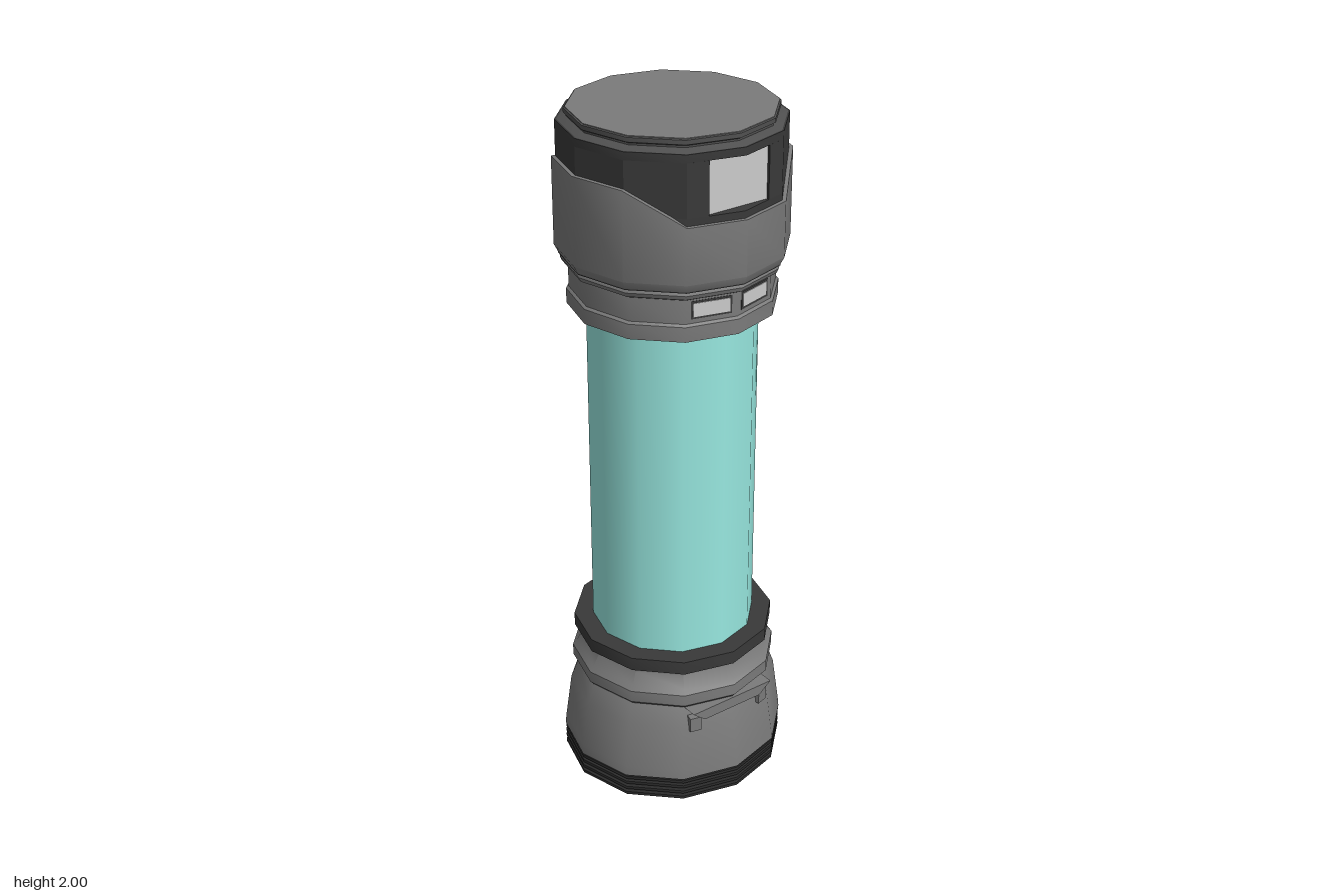
import * as THREE from 'three';
import { toCreasedNormals } from 'three/addons/utils/BufferGeometryUtils.js';

const SIDES = 12;
const mat = (color) => new THREE.MeshStandardMaterial({ color });
const dark = mat(0x393939), rim = mat(0x505050), grey = mat(0x7b7b7b);
const black = mat(0x2c2c2c), light = mat(0xcccccc), teal = mat(0x98e8e0);

export function createModel() {
  const model = new THREE.Group();

  const add = (name, geometry, material, parent = model) => {
    const mesh = new THREE.Mesh(geometry, material);
    mesh.name = name;
    parent.add(mesh);
    return mesh;
  };
  // Twelve-sided turned part; profile is [radius, y] from bottom to top
  const turned = (profile) =>
    new THREE.LatheGeometry(profile.map(([r, y]) => new THREE.Vector2(r, y)), SIDES);
  const lathe = (name, profile, material, zScale = 1, xScale = 1) =>
    add(name, toCreasedNormals(turned(profile).scale(xScale, 1, zScale), 0.6), material);
  const disc = (name, r, y0, y1, material) =>
    lathe(name, [[0, y0], [r, y0], [r, y1], [0, y1]], material);

  // Finned foot
  lathe('footCore', [[0, 0.002], [0.285, 0.002], [0.285, 0.08], [0, 0.08]], black);
  for (const y of [0, 0.019, 0.038, 0.056]) {
    lathe('footFin', [[0, y], [0.328, y], [0.328, y + 0.009], [0, y + 0.009]], black, 1, 0.965);
  }

  // Flared base, slightly narrower across x
  lathe('base', [[0, 0.07], [0.33, 0.07], [0.327, 0.1], [0.308, 0.24],
    [0.284, 0.305], [0, 0.305]], grey, 1, 0.96);
  lathe('baseCollar', [[0, 0.305], [0.288, 0.305], [0.297, 0.315], [0.297, 0.35],
    [0.285, 0.365], [0.266, 0.4], [0.266, 0.415], [0.25, 0.425], [0, 0.425]], grey);
  disc('baseRim', 0.29, 0.42, 0.46, dark);

  // Latch lip with two small hooks on each side of the base
  for (const side of [1, -1]) {
    const latch = new THREE.Group();
    latch.name = 'sideLatch';
    const lip = new THREE.Shape([[-0.14, 0.3], [-0.1, 0.267], [0.1, 0.267], [0.14, 0.3]]
      .map(([x, y]) => new THREE.Vector2(x, y)));
    add('latchLip', new THREE.ExtrudeGeometry(lip, { depth: 0.045, bevelEnabled: false })
      .translate(0, 0, 0.245), grey, latch);
    for (const s of [1, -1]) {
      const hook = add('latchHook', new THREE.BoxGeometry(0.035, 0.045, 0.03), grey, latch);
      hook.position.set(s * 0.118, 0.25, 0.262);
      hook.rotation.y = s * 0.26;
    }
    latch.rotation.y = side * Math.PI / 2;
    model.add(latch);
  }

  // Glass tube
  add('tube', new THREE.CylinderGeometry(0.235, 0.235, 1.02, SIDES).translate(0, 0.955, 0), teal);

  // Neck of the head
  lathe('neck', [[0, 1.455], [0.287, 1.455], [0.287, 1.497], [0.28, 1.503], [0.28, 1.57],
    [0.296, 1.578], [0.301, 1.59], [0.295, 1.605], [0, 1.605]], grey);

  // Light panels on the neck facets either side of each x axis
  const apothem = 0.28 * Math.cos(Math.PI / SIDES);
  for (const side of [1, -1]) for (const s of [1, -1]) {
    const pivot = new THREE.Group();
    pivot.name = 'neckPanel';
    add('neckFrame', new THREE.BoxGeometry(0.114, 0.05, 0.008), dark, pivot)
      .position.set(0, 1.54, apothem - 0.003);
    add('neckLight', new THREE.BoxGeometry(0.102, 0.038, 0.008), light, pivot)
      .position.set(0, 1.54, apothem - 0.001);
    pivot.rotation.y = side * Math.PI / 2 + s * Math.PI / SIDES;
    model.add(pivot);
  }

  // Shroud: upper edge stands high at front and back, low at the sides
  const shroud = turned([[0.285, 1.598], [0.305, 1.603], [0.316, 1.625], [0.316, 1.78],
    [0.27, 1.781]]);
  const p = shroud.attributes.position;
  for (let i = 0; i < p.count; i++) {
    const high = Math.abs(p.getX(i)) < 0.6 * Math.hypot(p.getX(i), p.getZ(i));
    if (high && p.getY(i) > 1.77) p.setY(i, p.getY(i) + 0.09);
  }
  add('shroud', toCreasedNormals(shroud, 0.6), grey);

  // Head ring with a window cut flat across each x corner
  disc('headLower', 0.305, 1.6, 1.8, dark);
  const outline = [];
  for (let i = 0; i < SIDES; i++) {
    const a = i * Math.PI * 2 / SIDES, c = Math.cos(a), s = Math.sin(a);
    if (i % 6) outline.push([c * 0.305, s * 0.305]);
    else for (const [x, z] of [[0.28, -0.095], [0.268, -0.095], [0.268, 0.095], [0.28, 0.095]])
      outline.push([c * x, c * z]);
  }
  const ring = new THREE.Shape(outline.map(([x, z]) => new THREE.Vector2(x, z)));
  add('headWindowRing', new THREE.ExtrudeGeometry(ring, { depth: 0.145, bevelEnabled: false })
    .rotateX(-Math.PI / 2).translate(0, 1.8, 0), dark);
  for (const side of [1, -1]) {
    add('headWindow', new THREE.BoxGeometry(0.008, 0.145, 0.19), light)
      .position.set(side * 0.268, 1.8725, 0);
  }
  disc('headUpper', 0.305, 1.945, 1.967, dark);

  // Cap
  lathe('capRim', [[0, 1.96], [0.3, 1.967], [0.275, 1.975], [0.275, 1.98], [0.282, 1.984],
    [0.282, 1.996], [0.278, 1.998], [0, 1.998]], rim);
  disc('capTop', 0.278, 1.99, 2, grey);

  return model;
}
